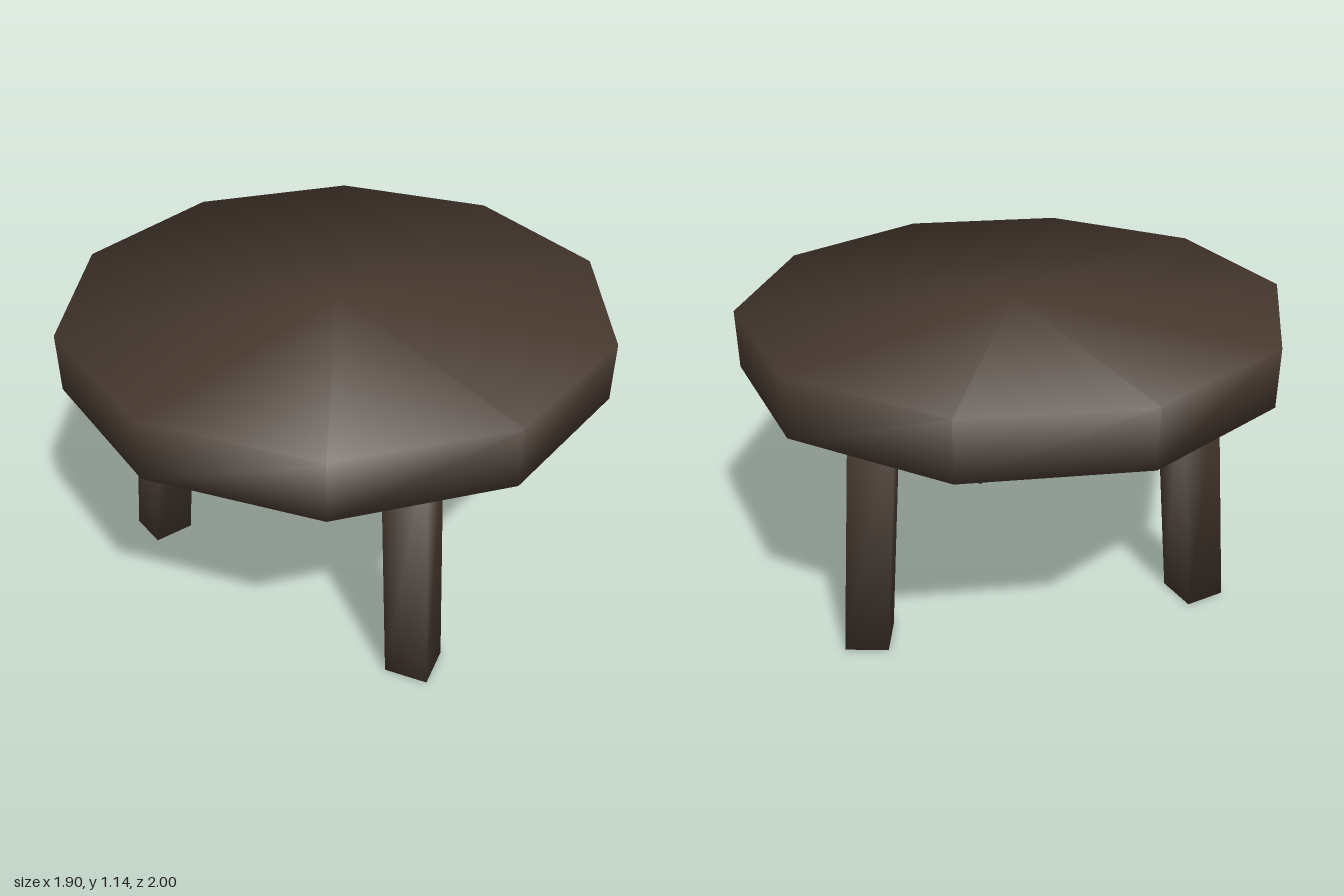
import * as THREE from 'three';

// Prism whose normals are blended around every rim, giving soft edges
function softPrism(radius, height, sides) {
  const geo = new THREE.CylinderGeometry(radius, radius, height, sides);
  const pos = geo.attributes.position;
  const nor = geo.attributes.normal;
  const up = Math.PI * (1 - 2 / sides);          // share of the end face
  const out = Math.PI * Math.cos(Math.PI / sides); // share of the two side faces
  const n = new THREE.Vector3();
  for (let i = 0; i < pos.count; i++) {
    const x = pos.getX(i), z = pos.getZ(i);
    if (Math.hypot(x, z) < radius * 0.5) continue; // cap centres stay vertical
    n.set((x / radius) * out, Math.sign(pos.getY(i)) * up, (z / radius) * out).normalize();
    nor.setXYZ(i, n.x, n.y, n.z);
  }
  geo.translate(0, height / 2, 0);
  return geo;
}

export function createModel() {
  const model = new THREE.Group();
  model.name = 'stool';
  const darkWood = new THREE.MeshStandardMaterial({ color: 0x483a30 });
  darkWood.name = 'dark wood';

  const seatBottom = 0.93, seatTop = 1.145;

  // Ten-sided seat
  const seat = new THREE.Mesh(softPrism(1, seatTop - seatBottom, 10), darkWood);
  seat.name = 'seat';
  seat.position.y = seatBottom;
  model.add(seat);

  // Three square legs, set cornerwise and slanting inward, with level feet
  const footRadius = 0.74, topRadius = 0.652;
  const legGeo = softPrism(0.113, seatBottom, 4);
  const slant = (topRadius - footRadius) / seatBottom;
  legGeo.applyMatrix4(new THREE.Matrix4().set(
    1, 0, 0, 0,
    0, 1, 0, 0,
    0, slant, 1, footRadius,
    0, 0, 0, 1
  ));
  const legs = { leftLeg: Math.PI / 3, rightLeg: -Math.PI / 3, backLeg: Math.PI };
  for (const [name, angle] of Object.entries(legs)) {
    const leg = new THREE.Mesh(legGeo, darkWood);
    leg.name = name;
    leg.rotation.y = angle;
    model.add(leg);
  }
  return model;
}
